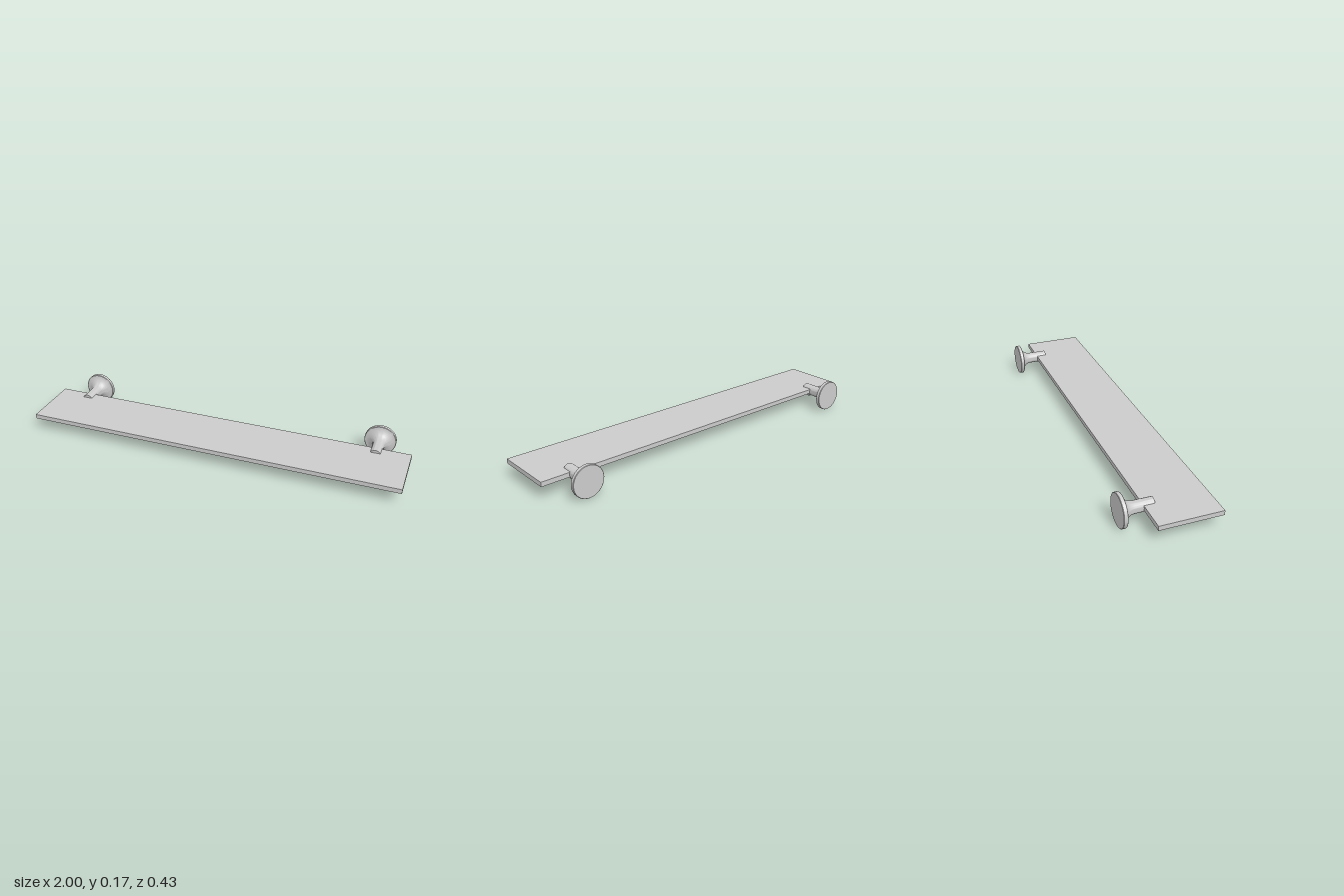
import * as THREE from 'three';
import { toCreasedNormals } from 'three/addons/utils/BufferGeometryUtils.js';

const material = new THREE.MeshStandardMaterial({ color: 0xcccccc });
const POST_R = 0.03, POST_Y = 0.086, SLOT_Z = -0.101, TIP_Z = -0.047;

function addPart(parent, name, geometry, x = 0, y = 0, z = 0) {
  const mesh = new THREE.Mesh(toCreasedNormals(geometry, 0.6), material);
  mesh.name = name;
  mesh.position.set(x, y, z);
  parent.add(mesh);
}

// Circular-segment bar: the slice of the post beyond a flat at height h
function jawGeometry(h, sign) {
  const a = Math.asin(h / POST_R);
  const shape = new THREE.Shape();
  if (sign > 0) shape.absarc(0, 0, POST_R, a, Math.PI - a, false);
  else shape.absarc(0, 0, POST_R, Math.PI + a, 2 * Math.PI - a, false);
  shape.closePath();
  return new THREE.ExtrudeGeometry(shape, {
    depth: TIP_Z - SLOT_Z, bevelEnabled: false, curveSegments: 16,
  });
}

function createBracket(x) {
  const bracket = new THREE.Group();
  bracket.name = x > 0 ? 'leftBracket' : 'rightBracket';
  bracket.position.set(x, POST_Y, 0);

  // Wall disc flaring into the post, turned to run along z
  const profile = [
    [0, -0.217], [0.081, -0.217], [0.083, -0.215], [0.083, -0.198], [0.081, -0.196],
    [0.073, -0.195], [0.064, -0.192], [0.053, -0.186], [0.043, -0.178], [0.036, -0.168],
    [0.032, -0.157], [POST_R, -0.143], [POST_R, SLOT_Z], [0, SLOT_Z],
  ].map(([r, z]) => new THREE.Vector2(r, z));
  addPart(bracket, 'wallMount', new THREE.LatheGeometry(profile, 40).rotateX(Math.PI / 2));

  // Fork gripping the shelf
  addPart(bracket, 'upperJaw', jawGeometry(0.015, 1), 0, 0, SLOT_Z);
  addPart(bracket, 'lowerJaw', jawGeometry(0.018, -1), 0, 0, SLOT_Z);

  // Clamp screw beneath the lower jaw
  addPart(bracket, 'screwShank', new THREE.CylinderGeometry(0.006, 0.006, 0.026, 16), 0, -0.023, -0.073);
  addPart(bracket, 'screwHead', new THREE.CylinderGeometry(0.012, 0.011, 0.008, 20), 0, -0.032, -0.073);
  return bracket;
}

export function createModel() {
  const model = new THREE.Group();
  model.name = 'wallShelf';
  addPart(model, 'shelfBoard', new THREE.BoxGeometry(2, 0.024, 0.317), 0, 0.086, 0.0585);
  for (const side of [-1, 1]) model.add(createBracket(side * 0.823));
  return model;
}
